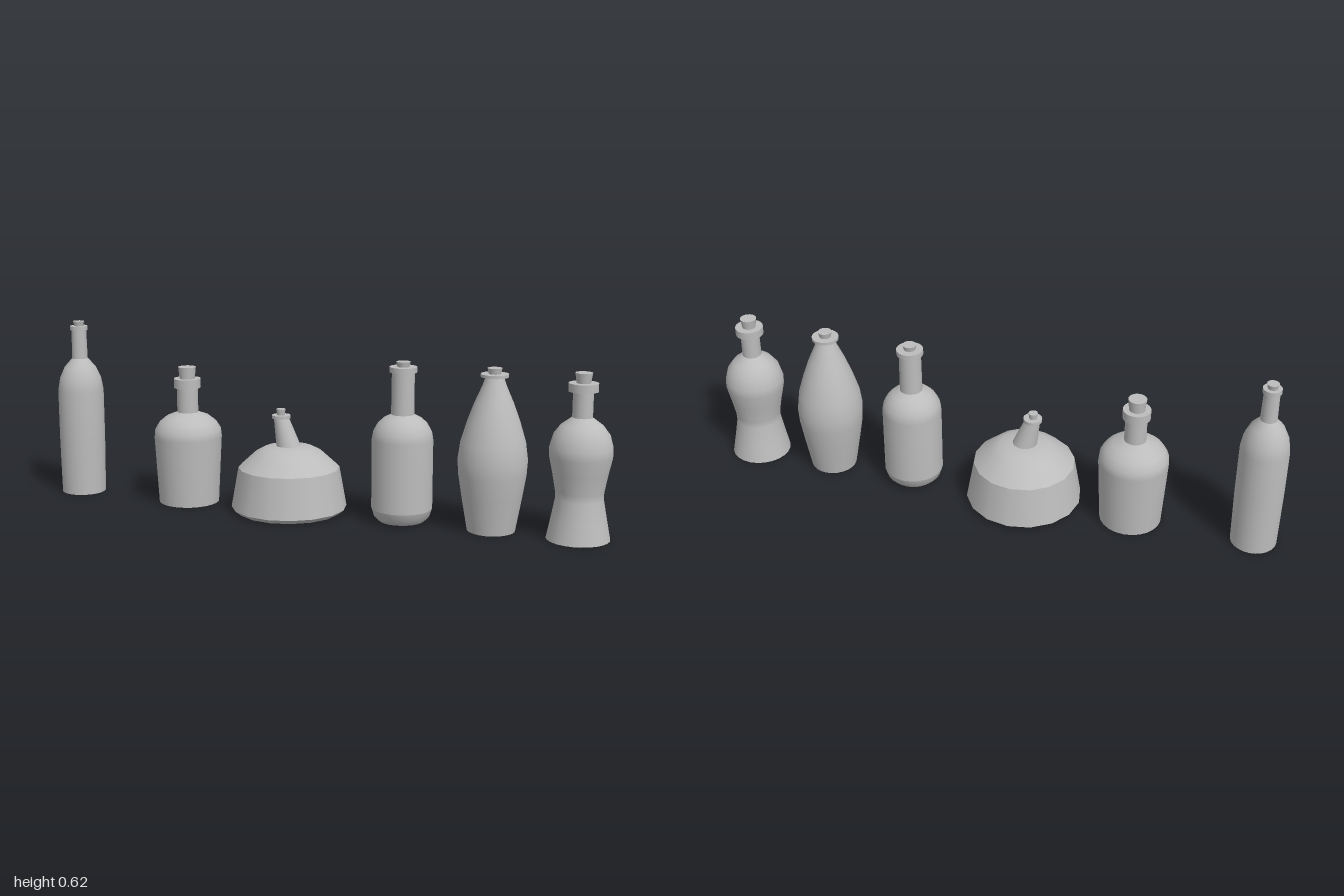
import * as THREE from 'three';

const glass = new THREE.MeshStandardMaterial({ color: 0xbcbcbc, side: THREE.DoubleSide });
glass.name = 'grey';

// Surface of revolution from [radius, height] points
function turned(name, points, sides = 24) {
  const profile = points.map(([r, y]) => new THREE.Vector2(r, y));
  const mesh = new THREE.Mesh(new THREE.LatheGeometry(profile, sides), glass);
  mesh.name = name;
  return mesh;
}

// Solid ring or plug between two heights
function disc(name, rBottom, rTop, y0, y1, x = 0) {
  const mesh = new THREE.Mesh(new THREE.CylinderGeometry(rTop, rBottom, y1 - y0, 24), glass);
  mesh.position.set(x, (y0 + y1) / 2, 0);
  mesh.name = name;
  return mesh;
}

// Each body is open underneath; lip and stopper are [bottom radius, top radius, y0, y1]
const bottles = [
  {
    name: 'tallBottle', x: -0.919,
    body: [[0.078, 0], [0.081, 0.2], [0.081, 0.375], [0.073, 0.42], [0.055, 0.46], [0.028, 0.49]],
    neck: [[0.028, 0.49], [0.026, 0.593]],
    lip: [0.031, 0.031, 0.592, 0.607], stopper: [0.016, 0.02, 0.607, 0.624],
  },
  {
    name: 'squatBottle', x: -0.494,
    body: [[0.106, 0], [0.119, 0.235], [0.116, 0.262], [0.1, 0.288], [0.075, 0.308], [0.037, 0.323]],
    neck: [[0.037, 0.323], [0.037, 0.425]],
    lip: [0.047, 0.047, 0.41, 0.442], stopper: [0.027, 0.031, 0.442, 0.483],
  },
  {
    name: 'roundBottle', x: 0.296,
    base: [[0.052, 0], [0.078, 0.005], [0.095, 0.022], [0.103, 0.048]],
    body: [[0.103, 0.048], [0.103, 0.285], [0.098, 0.313], [0.084, 0.338], [0.065, 0.356], [0.039, 0.37]],
    neck: [[0.039, 0.37], [0.038, 0.513]],
    lip: [0.046, 0.046, 0.512, 0.53], stopper: [0.02, 0.024, 0.53, 0.547],
  },
  {
    name: 'taperedBottle', x: 0.605,
    body: [[0.08, 0], [0.1, 0.115], [0.112, 0.19], [0.115, 0.24], [0.107, 0.3], [0.086, 0.37],
      [0.064, 0.43], [0.04, 0.485], [0.029, 0.516]],
    lip: [0.046, 0.046, 0.515, 0.525], stopper: [0.02, 0.024, 0.525, 0.544],
  },
  {
    name: 'waistedBottle', x: 0.893,
    body: [[0.104, 0], [0.091, 0.065], [0.078, 0.135], [0.079, 0.16], [0.09, 0.22], [0.102, 0.275],
      [0.102, 0.305], [0.091, 0.345], [0.068, 0.376], [0.033, 0.402]],
    neck: [[0.033, 0.402], [0.033, 0.487]],
    lip: [0.048, 0.048, 0.486, 0.513], stopper: [0.023, 0.028, 0.513, 0.546],
  },
];

function buildBottle({ name, x, base, body, neck, lip, stopper }) {
  const bottle = new THREE.Group();
  bottle.name = name;
  bottle.position.x = x;
  if (base) bottle.add(turned('base', base));
  bottle.add(turned('body', body));
  if (neck) bottle.add(turned('neck', neck));
  bottle.add(disc('lip', ...lip), disc('stopper', ...stopper));
  return bottle;
}

// Wide flask with a creased rim and shoulder and a leaning neck
function buildFlask() {
  const flask = new THREE.Group();
  flask.name = 'wideFlask';
  flask.position.x = -0.112;
  flask.add(turned('bevel', [[0.18, 0], [0.2, 0.016]], 16));
  flask.add(turned('wall', [[0.2, 0.016], [0.175, 0.155]], 16));
  flask.add(turned('dome', [[0.175, 0.155], [0.12, 0.205], [0.085, 0.224], [0.045, 0.231], [0, 0.233]], 16));
  const neck = turned('neck', [[0.043, 0.225], [0.026, 0.328]]);
  // Lean the neck towards -x by shearing
  const shear = new THREE.Matrix4().set(1, -0.27, 0, 0.27 * 0.225, 0, 1, 0, 0, 0, 0, 1, 0, 0, 0, 0, 1);
  neck.geometry.applyMatrix4(shear);
  flask.add(neck);
  flask.add(disc('lip', 0.032, 0.032, 0.325, 0.336, -0.028));
  flask.add(disc('stopper', 0.013, 0.016, 0.336, 0.357, -0.029));
  return flask;
}

export function createModel() {
  const model = new THREE.Group();
  model.name = 'bottleSet';
  bottles.forEach((b) => model.add(buildBottle(b)));
  model.add(buildFlask());
  return model;
}
